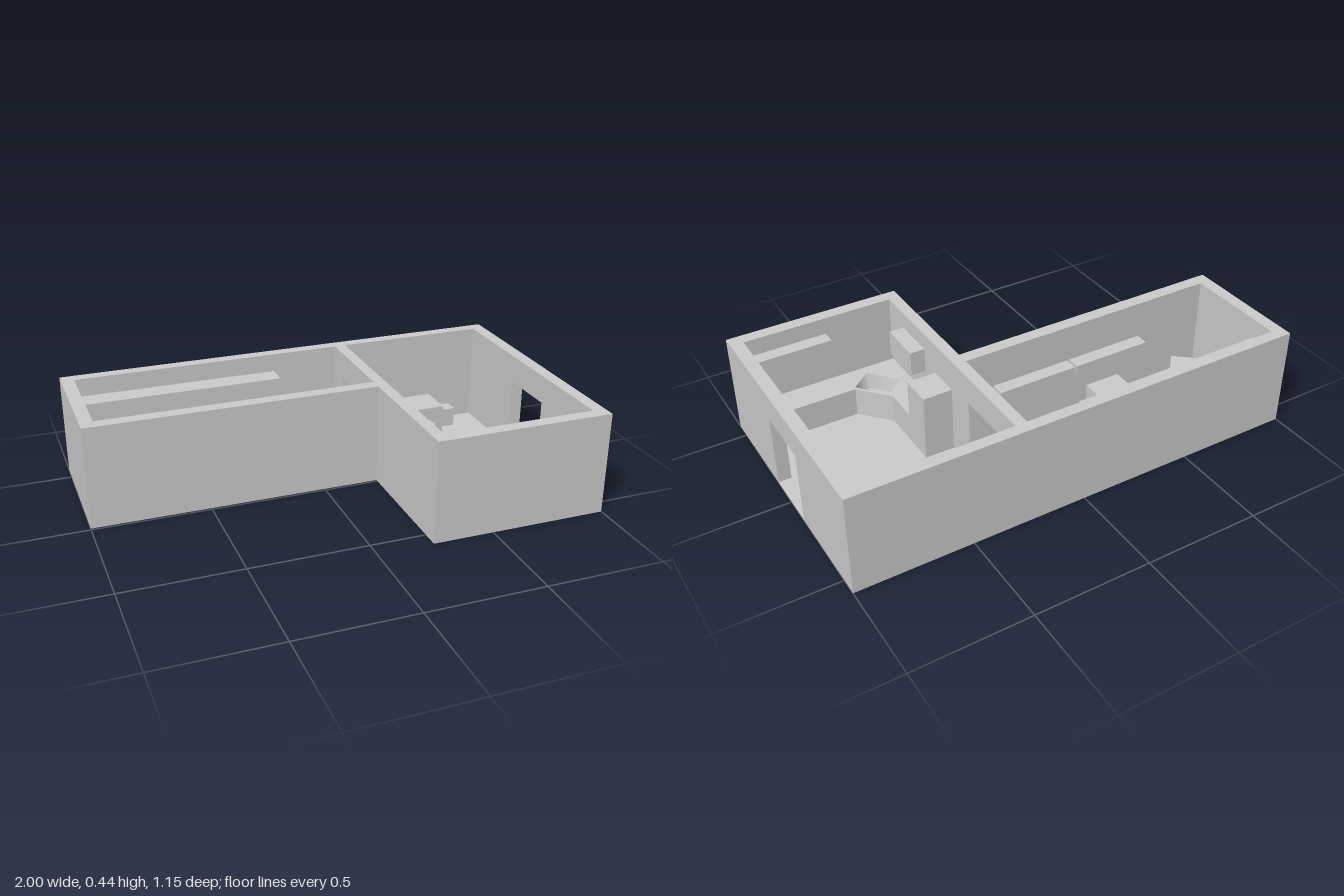
import * as THREE from 'three';

const material = new THREE.MeshStandardMaterial({ color: 0xcccccc, flatShading: true });
const WALL_H = 0.44;
const DOOR_H = 0.32;

export function createModel() {
  const model = new THREE.Group();

  function add(name, geometry, mat = material) {
    const mesh = new THREE.Mesh(geometry, mat);
    mesh.name = name;
    model.add(mesh);
    return mesh;
  }

  // Box given by its limits on each axis
  function block(name, x0, x1, y0, y1, z0, z1) {
    const mesh = add(name, new THREE.BoxGeometry(x1 - x0, y1 - y0, z1 - z0));
    mesh.position.set((x0 + x1) / 2, (y0 + y1) / 2, (z0 + z1) / 2);
    return mesh;
  }

  const polygon = (points) => new THREE.Shape(points.map(([x, y]) => new THREE.Vector2(x, y)));

  // Wall running along z with a doorway cut up from the ground
  function doorWall(name, x0, x1, z0, z1, door0, door1) {
    const outline = polygon([
      [z0, 0], [door0, 0], [door0, DOOR_H], [door1, DOOR_H],
      [door1, 0], [z1, 0], [z1, WALL_H], [z0, WALL_H],
    ]);
    const geometry = new THREE.ExtrudeGeometry(outline, { depth: x1 - x0, bevelEnabled: false });
    geometry.rotateY(-Math.PI / 2);
    add(name, geometry).position.x = x1;
  }

  // Flat plan outline in x and z, with thickness downward from the top
  function slab(name, shape, top, thickness) {
    const geometry = new THREE.ExtrudeGeometry(shape, { depth: thickness, bevelEnabled: false });
    geometry.rotateX(Math.PI / 2);
    add(name, geometry).position.y = top;
  }

  // Floor
  slab('floor', polygon([
    [-1, -0.575], [1, -0.575], [1, 0.575], [0.24, 0.575], [0.24, -0.01], [-1, -0.01],
  ]), 0.004, 0.004);

  // Walls
  block('backWall', -0.945, 0.945, 0, WALL_H, -0.575, -0.525);
  block('rightEndWall', -1, -0.945, 0, WALL_H, -0.575, -0.01);
  block('longRoomFrontWall', -0.945, 0.24, 0, WALL_H, -0.065, -0.01);
  block('kitchenFrontWall', 0.29, 0.945, 0, WALL_H, 0.52, 0.575);
  doorWall('entranceWall', 0.945, 1, -0.575, 0.575, -0.125, 0.135);
  doorWall('partitionWall', 0.24, 0.29, -0.525, 0.575, -0.43, -0.17);

  // Long room furniture
  block('wardrobe', -0.945, -0.055, 0, 0.36, -0.525, -0.43);
  block('shelf', -0.615, -0.255, 0.245, 0.275, -0.125, -0.065);
  block('shelf', -0.245, 0.115, 0.245, 0.275, -0.125, -0.065);
  block('armchair', -0.515, -0.35, 0, 0.11, -0.235, -0.068);
  const turnedChair = block('turnedArmchair', -0.898, -0.733, 0, 0.11, -0.275, -0.11);
  turnedChair.rotation.y = -0.71;

  // Dining table and stools
  block('diningTable', 0.505, 0.725, 0, 0.135, -0.525, -0.365);
  for (const [x, z] of [[0.447, -0.453], [0.778, -0.453], [0.612, -0.307]]) {
    block('stool', x - 0.033, x + 0.033, 0, 0.09, z - 0.033, z + 0.033);
  }

  // Kitchen fridge and wall cabinets
  block('fridge', 0.29, 0.42, 0, 0.3, -0.033, 0.108);
  block('sideWallCabinet', 0.29, 0.355, 0.255, 0.365, 0.2, 0.395);
  block('frontWallCabinet', 0.592, 0.915, 0.255, 0.365, 0.46, 0.52);

  // Corner counter with a sink opening set along its diagonal
  const sink = { x: 0.433, z: 0.38, halfLength: 0.08, halfWidth: 0.057, angle: 0.85, depth: 0.07 };
  const c = Math.cos(sink.angle), s = Math.sin(sink.angle);
  const opening = [[-1, -1], [-1, 1], [1, 1], [1, -1]].map(([i, j]) => {
    const u = i * sink.halfLength, v = j * sink.halfWidth;
    return new THREE.Vector2(sink.x + u * c - v * s, sink.z + u * s + v * c);
  });
  const counter = polygon([
    [0.29, 0.108], [0.42, 0.108], [0.42, 0.26], [0.535, 0.39],
    [0.945, 0.39], [0.945, 0.52], [0.29, 0.52],
  ]);
  counter.holes.push(new THREE.Path(opening));
  slab('kitchenCounter', counter, 0.135, 0.135);

  // Sink basin: four sloping sides and a bottom
  const r = Math.SQRT2, taper = 0.8;
  const sides = new THREE.CylinderGeometry(r, r * taper, sink.depth, 4, 1, true);
  sides.rotateY(Math.PI / 4).scale(sink.halfLength, 1, sink.halfWidth);
  const basin = add('sinkBasin', sides,
    new THREE.MeshStandardMaterial({ color: 0xcccccc, side: THREE.DoubleSide }));
  const bottom = add('sinkBottom', new THREE.BoxGeometry(
    2 * sink.halfLength * taper, 0.004, 2 * sink.halfWidth * taper));
  basin.position.set(sink.x, 0.135 - sink.depth / 2, sink.z);
  bottom.position.set(sink.x, 0.135 - sink.depth, sink.z);
  basin.rotation.y = bottom.rotation.y = -sink.angle;

  return model;
}
